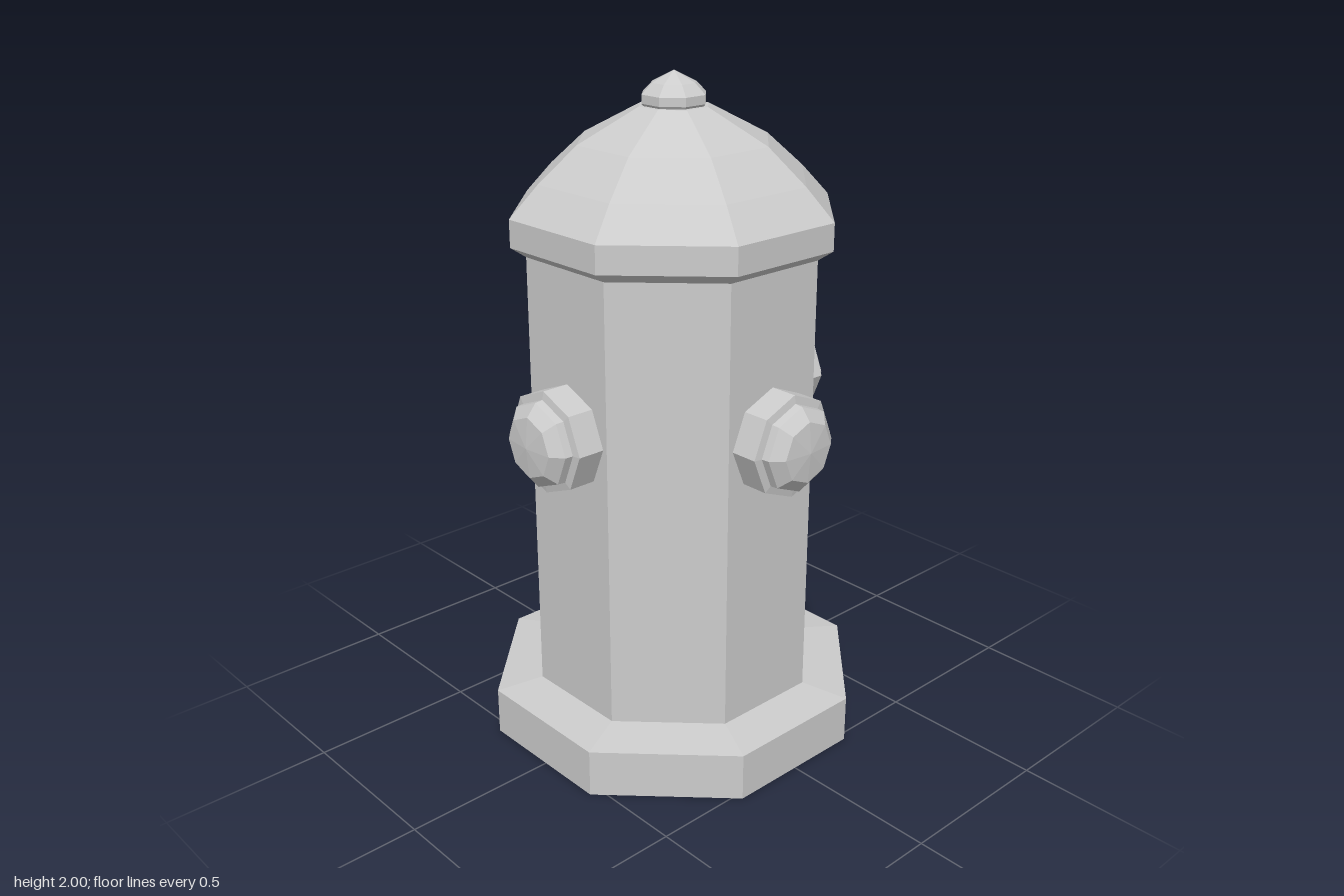
import * as THREE from 'three';

const SIDES = 8;
const CENTRE_X = -0.012;

const material = new THREE.MeshStandardMaterial({
  color: 0xcccccc,
  flatShading: true,
  side: THREE.DoubleSide,
});

// Eight-sided turned part; profile is [radius, height] from bottom to top.
function turned(name, profile, phiStart = 0, scale = 1) {
  const points = profile.map(([r, y]) => new THREE.Vector2(r * scale, y));
  const mesh = new THREE.Mesh(new THREE.LatheGeometry(points, SIDES, phiStart), material);
  mesh.name = name;
  return mesh;
}

// Upright parts have flats facing the axes, so their radii are given to the flats.
function upright(name, profile) {
  return turned(name, profile, Math.PI / SIDES, 1 / Math.cos(Math.PI / SIDES));
}

export function createModel() {
  const hydrant = new THREE.Group();
  hydrant.name = 'hydrant';

  // Hollow base flange, open underneath
  hydrant.add(upright('base', [[0.535, 0], [0.535, 0.145], [0.403, 0.165]]));

  // Barrel
  hydrant.add(upright('barrel', [[0.403, 0.165], [0.403, 1.52]]));

  // Rim and domed bonnet
  hydrant.add(upright('bonnet', [
    [0.403, 1.51], [0.444, 1.54], [0.444, 1.62], [0.366, 1.71],
    [0.262, 1.81], [0.095, 1.905], [0, 1.91],
  ]));

  // Knob on top
  hydrant.add(upright('topKnob', [
    [0.08, 1.9], [0.088, 1.912], [0.088, 1.937], [0.06, 1.967], [0, 2],
  ]));

  // Outlets on the front, left and back
  const outletProfile = [
    [0.152, 0.39], [0.152, 0.486], [0.128, 0.49],
    [0.126, 0.514], [0.09, 0.544], [0, 0.553],
  ];
  const outlets = { frontOutlet: 0, leftOutlet: Math.PI / 2, backOutlet: Math.PI };
  for (const [name, angle] of Object.entries(outlets)) {
    const outlet = turned(name, outletProfile);
    outlet.geometry.rotateX(Math.PI / 2);
    outlet.rotation.y = angle;
    outlet.position.y = 1.028;
    hydrant.add(outlet);
  }

  for (const part of hydrant.children) part.position.x = CENTRE_X;
  return hydrant;
}
